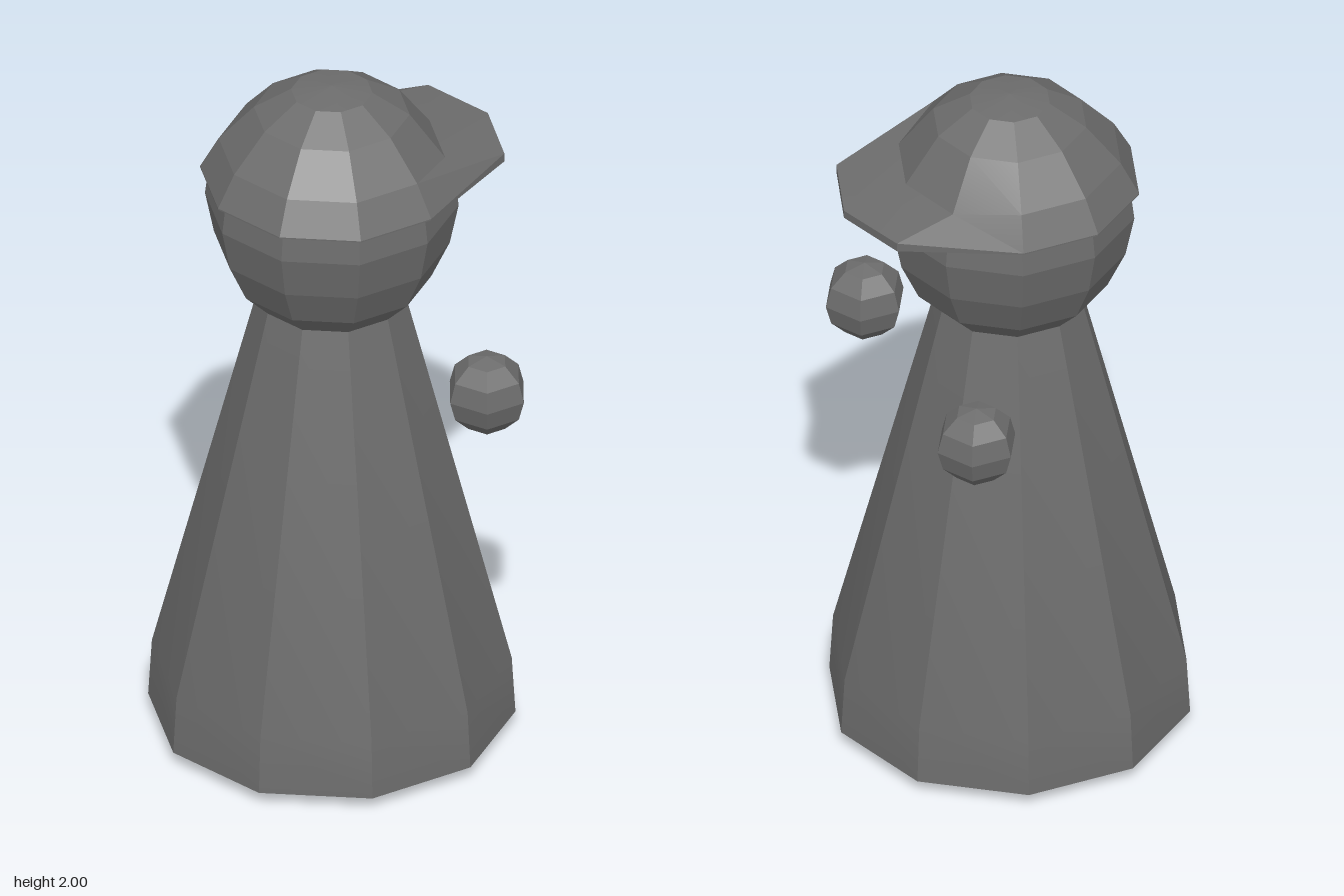
import * as THREE from 'three';
import { toCreasedNormals } from 'three/addons/utils/BufferGeometryUtils.js';

const SIDES = 10;
const CREASE = 0.22; // only the gentlest bends are shaded smooth

function makeMesh(name, geometry) {
  const material = new THREE.MeshStandardMaterial({ color: 0x6c6c6c });
  const mesh = new THREE.Mesh(toCreasedNormals(geometry, CREASE), material);
  mesh.name = name;
  return mesh;
}

// Ten-sided turned form, profile from bottom to top, one corner on the x axis
function turned(profile) {
  const points = profile.map(([r, y]) => new THREE.Vector2(r, y));
  return new THREE.LatheGeometry(points, SIDES, Math.PI / 2);
}

// Dome cap whose rim corners on the +x side are pulled out into a brim
function capGeometry() {
  const rim = 0.355;
  const geometry = turned([
    [0.29, 1.73], [rim, 1.72], [rim, 1.724], [0.305, 1.815], [0.21, 1.92], [0.11, 1.983], [0, 2],
  ]);
  const pos = geometry.attributes.position;
  for (let i = 0; i < pos.count; i++) {
    const x = pos.getX(i), z = pos.getZ(i);
    if (x < 0.2) continue;
    const tip = Math.abs(z) < 0.05;
    const radius = Math.hypot(x, z);
    if (radius > rim - 0.01) {
      // Brim edge
      const lower = pos.getY(i) < 1.722;
      pos.setXYZ(i, tip ? 0.487 : 0.42, lower ? 1.732 : tip ? 1.755 : 1.757, Math.sign(z) * (tip ? 0 : 0.2));
    } else if (radius > 0.3) {
      // Seam where the brim meets the dome
      pos.setY(i, 1.79);
    }
  }
  return geometry;
}

export function createModel() {
  const model = new THREE.Group();

  // Body, head and cap share one axis
  const figure = new THREE.Group();
  figure.name = 'figure';
  figure.position.z = -0.008;
  figure.add(
    makeMesh('body', turned([[0, 0], [0.495, 0.04], [0.485, 0.21], [0.2, 1.34], [0, 1.36]])),
    makeMesh('head', turned([
      [0, 1.335], [0.2, 1.34], [0.268, 1.41], [0.318, 1.52], [0.342, 1.64], [0.33, 1.74], [0, 1.78],
    ])),
    makeMesh('cap', capGeometry()),
  );
  model.add(figure);

  // Floating hands on either side of the brim direction
  for (const [name, z] of [['handFront', 0.377], ['handBack', -0.362]]) {
    const hand = makeMesh(name, new THREE.SphereGeometry(0.114, 6, 6));
    hand.position.set(0.255, 1.153, z);
    model.add(hand);
  }
  return model;
}
